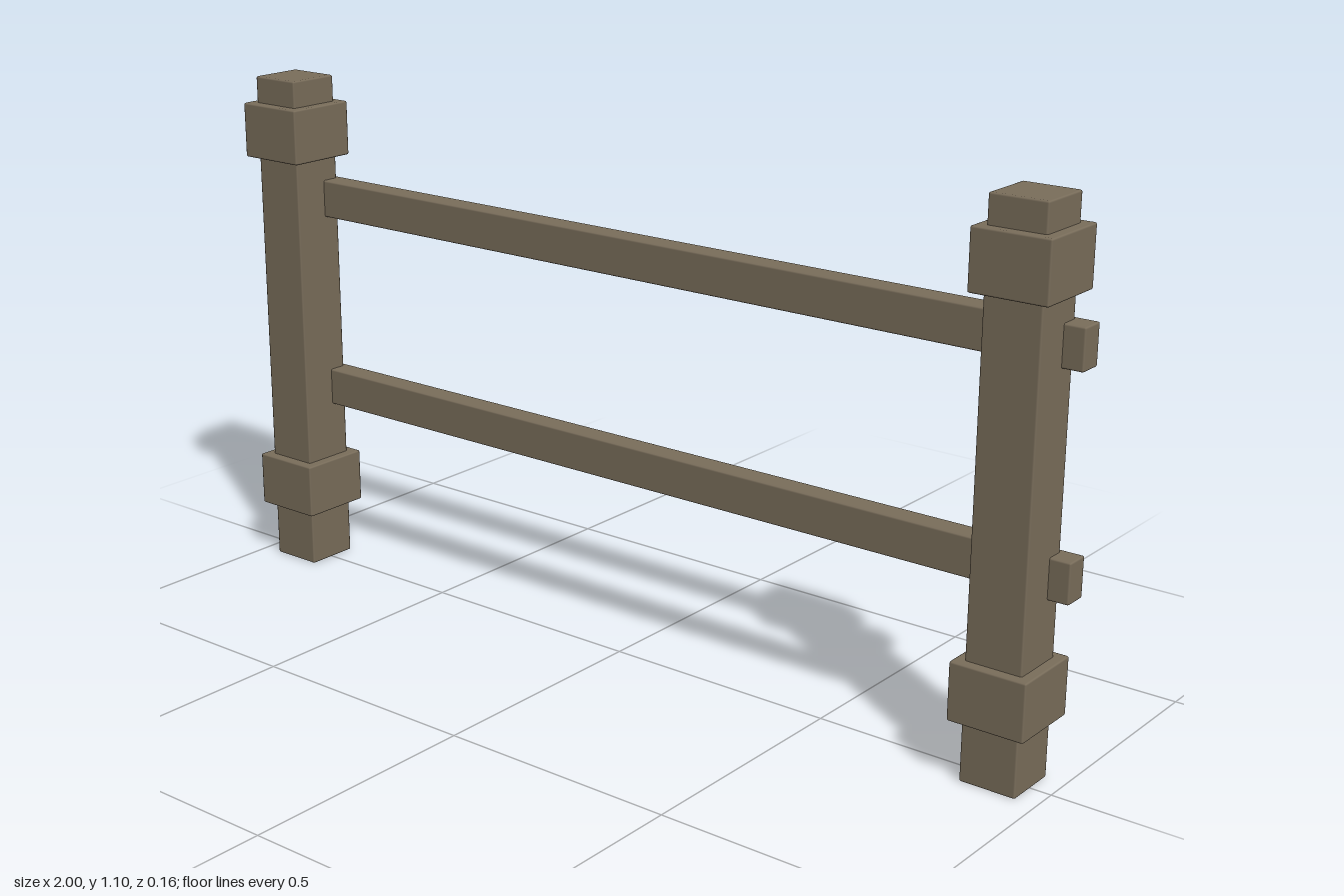
import * as THREE from 'three';
import { RoundedBoxGeometry } from 'three/addons/geometries/RoundedBoxGeometry.js';

const wood = new THREE.MeshStandardMaterial({ color: 0x7a6e5b });
wood.name = 'weathered wood';

// Timber block with slightly eased edges, spanning y0 to y1
function block(name, width, y0, y1, depth, z = 0) {
  const geometry = new RoundedBoxGeometry(width, y1 - y0, depth, 1, 0.004);
  const mesh = new THREE.Mesh(geometry, wood);
  mesh.name = name;
  mesh.position.set(0, (y0 + y1) / 2, z);
  return mesh;
}

// Square post with a thick collar near each end
function createPost(name, x) {
  const post = new THREE.Group();
  post.name = name;
  post.add(
    block('postShaft', 0.116, 0, 1.097, 0.116),
    block('lowerCollar', 0.157, 0.123, 0.24, 0.157),
    block('upperCollar', 0.157, 0.922, 1.04, 0.157)
  );
  post.position.x = x;
  return post;
}

export function createModel() {
  const fence = new THREE.Group();
  fence.name = 'fence';
  fence.add(createPost('leftPost', 0.9), createPost('rightPost', -0.9));

  // Rails let into the back of the posts
  fence.add(
    block('lowerRail', 2, 0.361, 0.442, 0.051, -0.0445),
    block('upperRail', 2, 0.79, 0.871, 0.051, -0.0445)
  );
  return fence;
}
